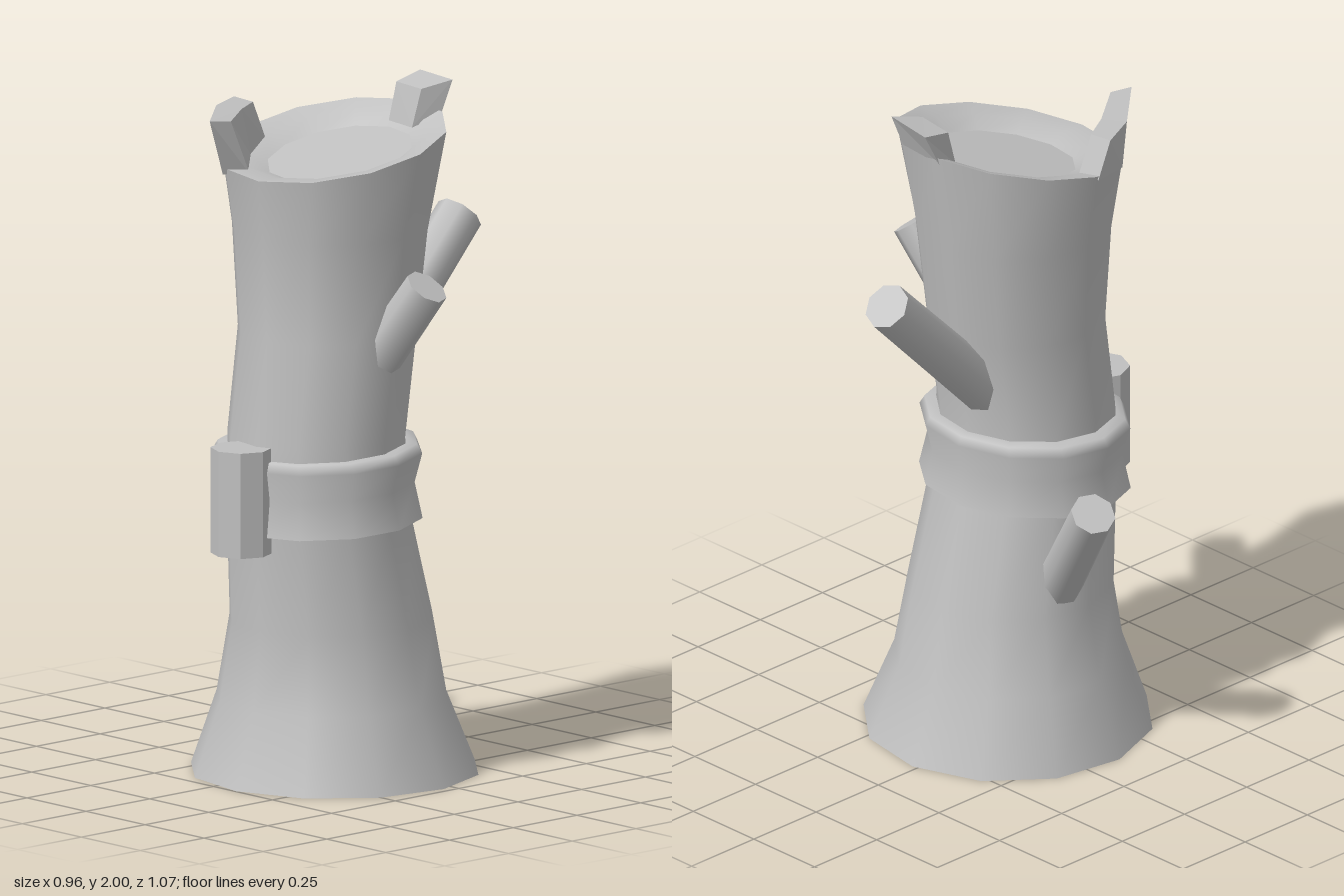
import * as THREE from 'three';

const SIDES = 12;
const V = (x, y, z) => new THREE.Vector3(x, y, z);

// Joins equal-length loops of points with quads; flat gives faceted sides and closed ends
function loft(loops, flat = false) {
  const n = loops[0].length, index = [];
  const pos = loops.flat().flatMap(p => [p.x, p.y, p.z]);
  for (let i = 0; i < loops.length - 1; i++) {
    for (let j = 0; j < n; j++) {
      const a = i * n + j, b = i * n + (j + 1) % n;
      index.push(a, a + n, b, b, a + n, b + n);
    }
  }
  if (flat) {
    const e = (loops.length - 1) * n;
    for (let j = 1; j < n - 1; j++) index.push(0, j, j + 1, e, e + j + 1, e + j);
  }
  let g = new THREE.BufferGeometry();
  g.setAttribute('position', new THREE.Float32BufferAttribute(pos, 3));
  g.setIndex(index);
  if (flat) g = g.toNonIndexed();
  g.computeVertexNormals();
  return g;
}

// Twelve-sided ring whose height falls towards the front by the given slope
function ring(cx, y, cz, rx, rz = rx, slope = 0) {
  return Array.from({ length: SIDES }, (_, i) => {
    const a = (i / SIDES) * Math.PI * 2 - 0.09;
    return V(cx + Math.cos(a) * rx, y - Math.sin(a) * rz * slope, cz + Math.sin(a) * rz);
  });
}

export function createModel() {
  const group = new THREE.Group();
  const wood = new THREE.MeshStandardMaterial({ color: 0xc0c0c0 });
  wood.name = 'grey wood';
  const add = (name, geometry) => {
    const mesh = new THREE.Mesh(geometry, wood);
    mesh.name = name;
    group.add(mesh);
    return mesh;
  };

  // Trunk: bent, waisted and flared, with a slanted top
  const tilt = 0.215;
  const rim = ring(0.055, 1.85, 0.078, 0.335, 0.325, tilt);
  add('trunk', loft([
    ring(0.055, 0, 0.075, 0.423),
    ring(0.05, 0.22, 0.08, 0.34),
    ring(0.053, 0.45, 0.085, 0.297, 0.305),
    ring(0.058, 0.75, 0.137, 0.273),
    ring(0.06, 1.0, 0.152, 0.264, 0.258),
    ring(0.055, 1.3, 0.105, 0.265, 0.26),
    ring(0.05, 1.6, 0.09, 0.288),
    rim,
  ]));
  add('trunkBase', loft([ring(0.055, 0, 0.075, 0), ring(0.055, 0, 0.075, 0.423)]));

  // Hollowed top with a flat tilted floor
  const floor = ring(0.06, 1.809, 0.06, 0.212, 0.212, tilt);
  add('hollow', loft([rim, ring(0.057, 1.838, 0.07, 0.27, 0.265, tilt), floor]));
  add('hollowFloor', loft([floor, ring(0.06, 1.809, 0.06, 0)]));

  // Broken splinters: each section runs outer top, outer bottom, inner bottom, inner top
  add('frontSplinter', loft([
    [V(-0.07, 1.94, 0.45), V(-0.09, 1.77, 0.38), V(-0.04, 1.77, 0.32), V(-0.045, 1.935, 0.39)],
    [V(-0.22, 1.94, 0.285), V(-0.222, 1.80, 0.265), V(-0.15, 1.79, 0.21), V(-0.15, 1.935, 0.25)],
    [V(-0.275, 1.94, 0.165), V(-0.277, 1.83, 0.115), V(-0.20, 1.82, 0.11), V(-0.20, 1.935, 0.16)],
  ], true));
  add('backSplinter', loft([
    [V(0.025, 2.0, -0.288), V(0.015, 1.9, -0.24), V(0.03, 1.87, -0.16), V(0.03, 1.98, -0.19)],
    [V(0.19, 2.0, -0.262), V(0.18, 1.9, -0.225), V(0.15, 1.87, -0.14), V(0.155, 1.98, -0.172)],
  ], true));

  // Band wrapped round the waist, pinched in the middle
  const band = (y, rx, rz) => ring(0.055, y, 0.143, rx, rz, 0.05);
  const bottom = band(0.755, 0.32, 0.296);
  add('band', loft([
    bottom,
    band(0.86, 0.293, 0.277),
    band(0.945, 0.318, 0.296),
    band(0.972, 0.30, 0.285),
    band(0.975, 0.25, 0.25),
  ]));
  add('bandUnderside', loft([band(0.755, 0.25, 0.25), bottom]));

  // Upright peg on the front of the band
  const pegShape = new THREE.CylinderGeometry(0.09, 0.09, 0.31, 8).toNonIndexed();
  pegShape.computeVertexNormals();
  add('peg', pegShape).position.set(0.06, 0.845, 0.445);

  // Cut branch stubs, each from inside the trunk to its end
  const branch = (name, from, to, r) => {
    const dir = to.clone().sub(from);
    const mesh = add(name, new THREE.CylinderGeometry(r, r * 1.05, dir.length(), 8));
    mesh.position.copy(from).add(to).multiplyScalar(0.5);
    mesh.quaternion.setFromUnitVectors(V(0, 1, 0), dir.normalize());
  };
  branch('backBranch', V(0.02, 1.06, 0), V(-0.02, 1.542, -0.485), 0.07);
  branch('leftBranch', V(0.225, 1.19, 0.105), V(0.422, 1.472, 0.053), 0.065);
  branch('rightBranch', V(-0.18, 0.52, 0.05), V(-0.425, 0.867, -0.05), 0.066);

  return group;
}
